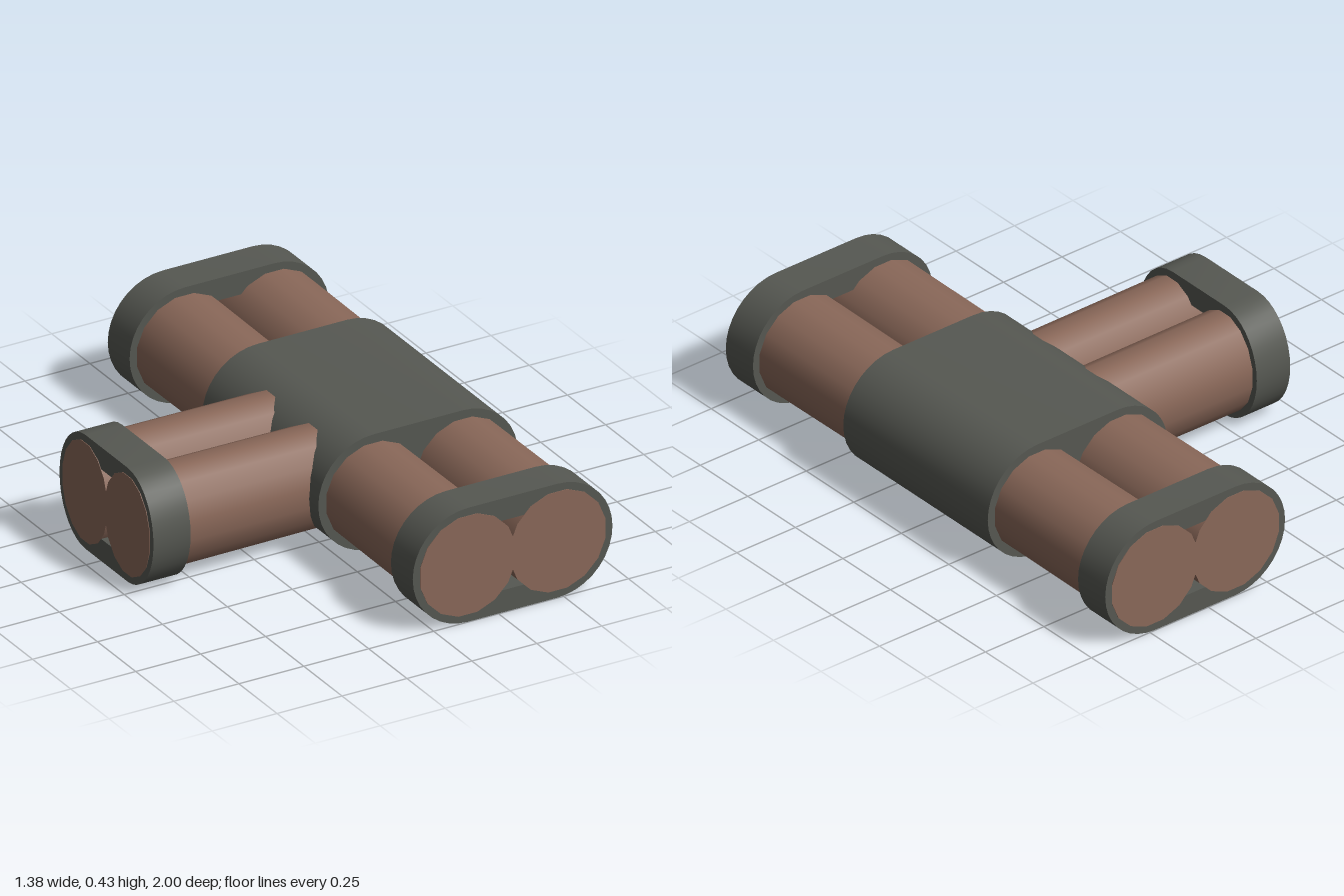
import * as THREE from 'three';
import { toCreasedNormals } from 'three/addons/utils/BufferGeometryUtils.js';

const CY = 0.215;   // height of all pipe axes
const CX = 0.305;   // x of the main run

// Stadium outline: two half circles joined by straight edges
function stadium(path, half, r) {
  path.moveTo(-half, -r);
  path.lineTo(half, -r);
  path.absarc(half, 0, r, -Math.PI / 2, Math.PI / 2, false);
  path.lineTo(-half, r);
  path.absarc(-half, 0, r, Math.PI / 2, Math.PI * 1.5, false);
  return path;
}

// Stadium block along z from z0 to z1, optionally with an oval opening
function sleeve(z0, z1, open) {
  const shape = stadium(new THREE.Shape(), 0.172, 0.2125);
  if (open) shape.holes.push(stadium(new THREE.Path(), 0.172, 0.13));
  const geo = new THREE.ExtrudeGeometry(shape, { depth: z1 - z0, bevelEnabled: false, curveSegments: 9 });
  geo.translate(0, 0, z0);
  return toCreasedNormals(geo, Math.PI / 5);
}

export function createModel() {
  const brown = new THREE.MeshStandardMaterial({ name: 'brown pipe', color: 0x8a6859 });
  const grey = new THREE.MeshStandardMaterial({ name: 'dark grey collar', color: 0x565852 });
  const model = new THREE.Group();
  model.name = 'pipeTee';

  const add = (parent, name, geo, mat) => {
    const mesh = new THREE.Mesh(geo, mat);
    mesh.name = name;
    parent.add(mesh);
    return mesh;
  };

  // Pair of pipes running along +z from start to end, with an end collar
  function branch(name, start, end) {
    const group = new THREE.Group();
    group.name = name;
    for (const s of [-1, 1]) {
      const pipe = new THREE.CylinderGeometry(0.187, 0.183, end - start, 16);
      pipe.rotateY(Math.PI / 16);
      pipe.rotateX(Math.PI / 2);
      pipe.translate(s * 0.173, 0, (start + end) / 2);
      add(group, s < 0 ? 'pipeA' : 'pipeB', pipe, brown);
    }
    add(group, 'endCollar', sleeve(end - 0.145, end - 0.002, true), grey);
    model.add(group);
    return group;
  }

  // Central sleeve
  add(model, 'centralSleeve', sleeve(-0.38, 0.38, false), grey).position.set(CX, CY, 0);

  // Main run, front and back
  branch('frontBranch', 0.3, 1).position.set(CX, CY, 0);
  const back = branch('backBranch', 0.3, 1);
  back.position.set(CX, CY, 0);
  back.rotation.y = Math.PI;

  // Narrower side branch towards -x
  const side = branch('sideBranch', -0.2, 0.695);
  side.position.set(0, CY, 0.037);
  side.rotation.y = -Math.PI / 2;
  side.scale.x = 0.8;

  return model;
}
